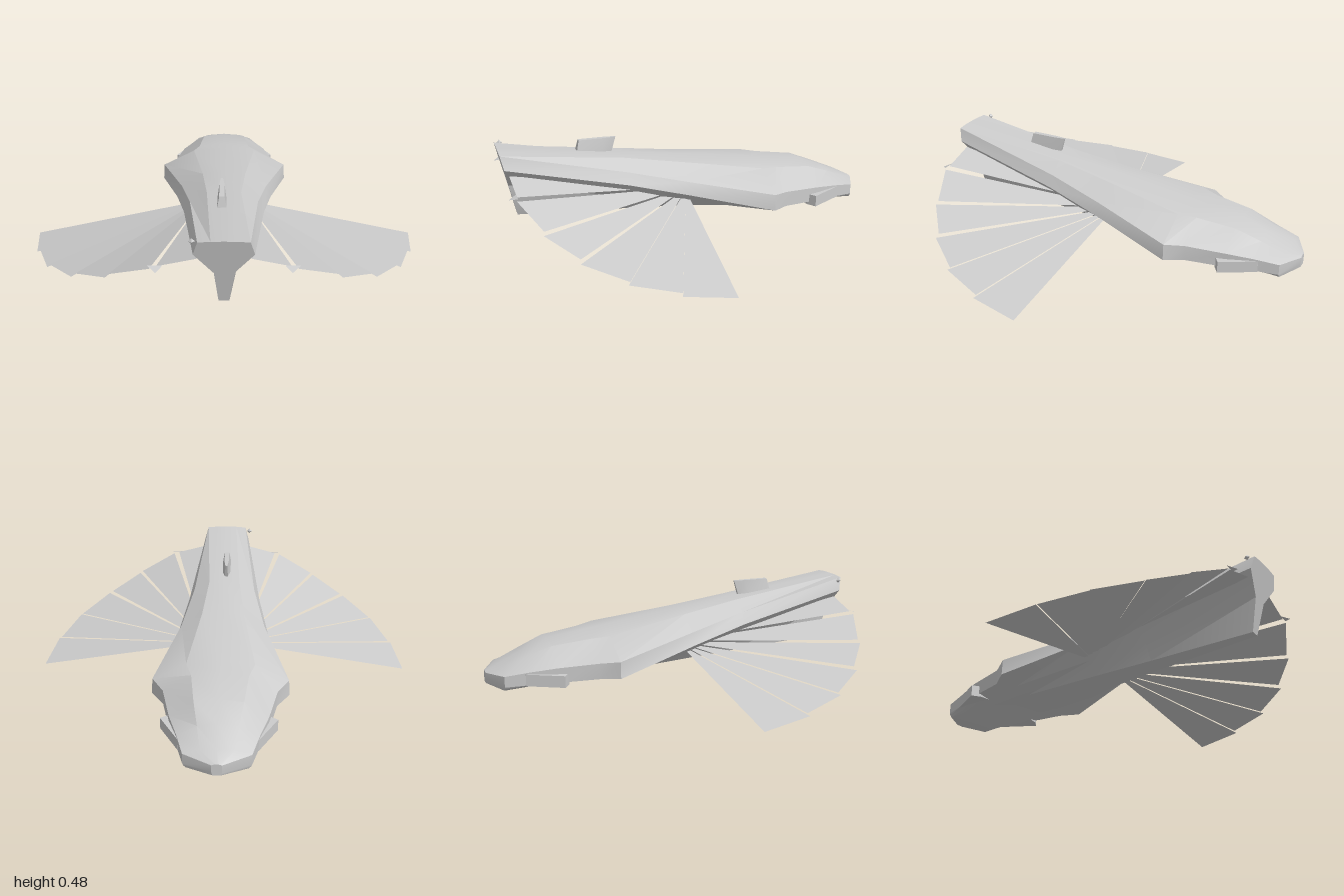
import * as THREE from 'three';
import { toCreasedNormals } from 'three/addons/utils/BufferGeometryUtils.js';

const grey = new THREE.MeshStandardMaterial({ color: 0xcccccc });
const thin = new THREE.MeshStandardMaterial({ color: 0xcccccc, side: THREE.DoubleSide });

function add(parent, name, geometry, material = grey) {
  const mesh = new THREE.Mesh(geometry, material);
  mesh.name = name;
  parent.add(mesh);
  return mesh;
}

// Skins a list of closed rings (clockwise seen from +z, ordered front to back) and caps both ends.
function loft(rings, crease) {
  const n = rings[0].length;
  const pos = rings.flat(2);
  const idx = [];
  for (let i = 0; i < rings.length - 1; i++) {
    for (let j = 0; j < n; j++) {
      const a = i * n + j, b = i * n + (j + 1) % n;
      idx.push(a, b, a + n, b, b + n, a + n);
    }
  }
  const cap = (ring, start, front) => {
    const c = pos.length / 3;
    for (let k = 0; k < 3; k++) pos.push(ring.reduce((s, p) => s + p[k], 0) / n);
    for (let j = 0; j < n; j++) {
      const a = start + j, b = start + (j + 1) % n;
      if (front) idx.push(c, b, a); else idx.push(c, a, b);
    }
  };
  cap(rings[0], 0, true);
  cap(rings.at(-1), (rings.length - 1) * n, false);
  const g = new THREE.BufferGeometry();
  g.setAttribute('position', new THREE.Float32BufferAttribute(pos, 3));
  g.setIndex(idx);
  return toCreasedNormals(g, crease);
}

// Flat thin panel from a fan of corners
function panel(...corners) {
  const g = new THREE.BufferGeometry();
  const tris = [];
  for (let i = 1; i < corners.length - 1; i++) tris.push(...corners[0], ...corners[i], ...corners[i + 1]);
  g.setAttribute('position', new THREE.Float32BufferAttribute(tris, 3));
  g.computeVertexNormals();
  return g;
}

// Hull stations: z, crown y, deck edge x/y, chine x/y, flank x/y, keel x/y
const stations = [
  [0.97, 0.485, 0.115, 0.48, 0.135, 0.41, 0.045, 0.3, 0.025, 0.13],
  [0.36, 0.405, 0.17, 0.345, 0.2, 0.285, 0.11, 0.19, 0.06, 0.107],
  [0.05, 0.36, 0.225, 0.275, 0.25, 0.21, 0.16, 0.15, 0.085, 0.094],
  [-0.38, 0.3, 0.345, 0.195, 0.35, 0.11, 0.22, 0.09, 0.115, 0.075],
  [-0.47, 0.288, 0.285, 0.18, 0.285, 0.1, 0.21, 0.085, 0.12, 0.07],
  [-0.67, 0.262, 0.24, 0.165, 0.24, 0.09, 0.19, 0.075, 0.135, 0.06],
  [-0.8, 0.207, 0.195, 0.145, 0.195, 0.08, 0.17, 0.068, 0.14, 0.055],
  [-0.92, 0.152, 0.16, 0.125, 0.16, 0.07, 0.155, 0.06, 0.145, 0.05],
  [-0.99, 0.12, 0.025, 0.115, 0.025, 0.08, 0.023, 0.07, 0.02, 0.06],
];

function hullRing([z, top, ex, ey, cx, cy, fx, fy, kx, ky], i) {
  // The bow face rakes back towards the keel
  const rake = (y) => (i === 0 ? z + 0.02 - 0.08 * (0.485 - y) / 0.355 : z);
  const half = [[ex * 0.5, ey + (top - ey) * 0.85], [ex, ey], [cx, cy], [fx, fy], [kx, ky]];
  const side = half.map(([x, y]) => [x, y, rake(y)]);
  const other = side.map(([x, y, w]) => [-x, y, w]).reverse();
  return [[0, top, rake(top)], ...side, ...other];
}

// Fan blades: leading tip and trailing tip
const blades = [
  [[1, 0.005, 0.08], [0.965, 0.035, 0.33]],
  [[0.95, 0.045, 0.325], [0.87, 0.08, 0.55]],
  [[0.86, 0.09, 0.54], [0.72, 0.14, 0.73]],
  [[0.7, 0.155, 0.725], [0.54, 0.22, 0.86]],
  [[0.525, 0.235, 0.855], [0.33, 0.32, 0.945]],
  [[0.3, 0.33, 0.94], [0.12, 0.375, 0.95]],
];

function buildWing(side) {
  const wing = new THREE.Group();
  wing.name = side > 0 ? 'leftWing' : 'rightWing';
  const flip = ([x, y, z]) => [x * side, y, z];
  blades.forEach(([lead, trail], i) => {
    const root = [0.1, 0.18 + i * 0.005, 0.03];
    add(wing, `blade${i + 1}`, panel(...[root, lead, trail].map(flip)), thin);
  });
  // Small tab on the last blade
  add(wing, 'wingTab', panel(...[[0.34, 0.335, 0.94], [0.27, 0.335, 0.94], [0.3, 0.32, 0.98]].map(flip)), thin);
  return wing;
}

// Wedge pod low on the stern flank
function buildPod(side) {
  const plan = [[0.15, -0.83], [0.19, -0.82], [0.285, -0.645], [0.24, -0.615], [0.15, -0.6]];
  const shape = new THREE.Shape(plan.map(([x, z]) => new THREE.Vector2(x * side, -z)));
  const g = new THREE.ExtrudeGeometry(shape, { depth: 0.06, bevelEnabled: false });
  g.rotateX(-Math.PI / 2).translate(0, 0.075, 0);
  return g;
}

export function createModel() {
  const model = new THREE.Group();
  model.name = 'fanWingCraft';

  add(model, 'hull', loft(stations.map(hullRing), 0.42));

  for (const side of [1, -1]) {
    model.add(buildWing(side));
    add(model, side > 0 ? 'leftPod' : 'rightPod', buildPod(side));
  }

  // Dorsal fin, tapered at both ends
  const finRing = (zTop, zBase, w, base) => [
    [-0.01 - w * 0.5, 0.485, zTop], [-0.01 + w * 0.5, 0.485, zTop],
    [-0.01 + w, base, zBase], [-0.01 - w, base, zBase],
  ];
  add(model, 'dorsalFin', loft([
    finRing(0.575, 0.59, 0.025, 0.42),
    finRing(0.44, 0.46, 0.024, 0.4),
    finRing(0.38, 0.41, 0.01, 0.39),
  ], 0.3));

  // Small bow sensor
  add(model, 'bowSensor', new THREE.OctahedronGeometry(0.015)).position.set(-0.14, 0.47, 0.96);

  return model;
}
